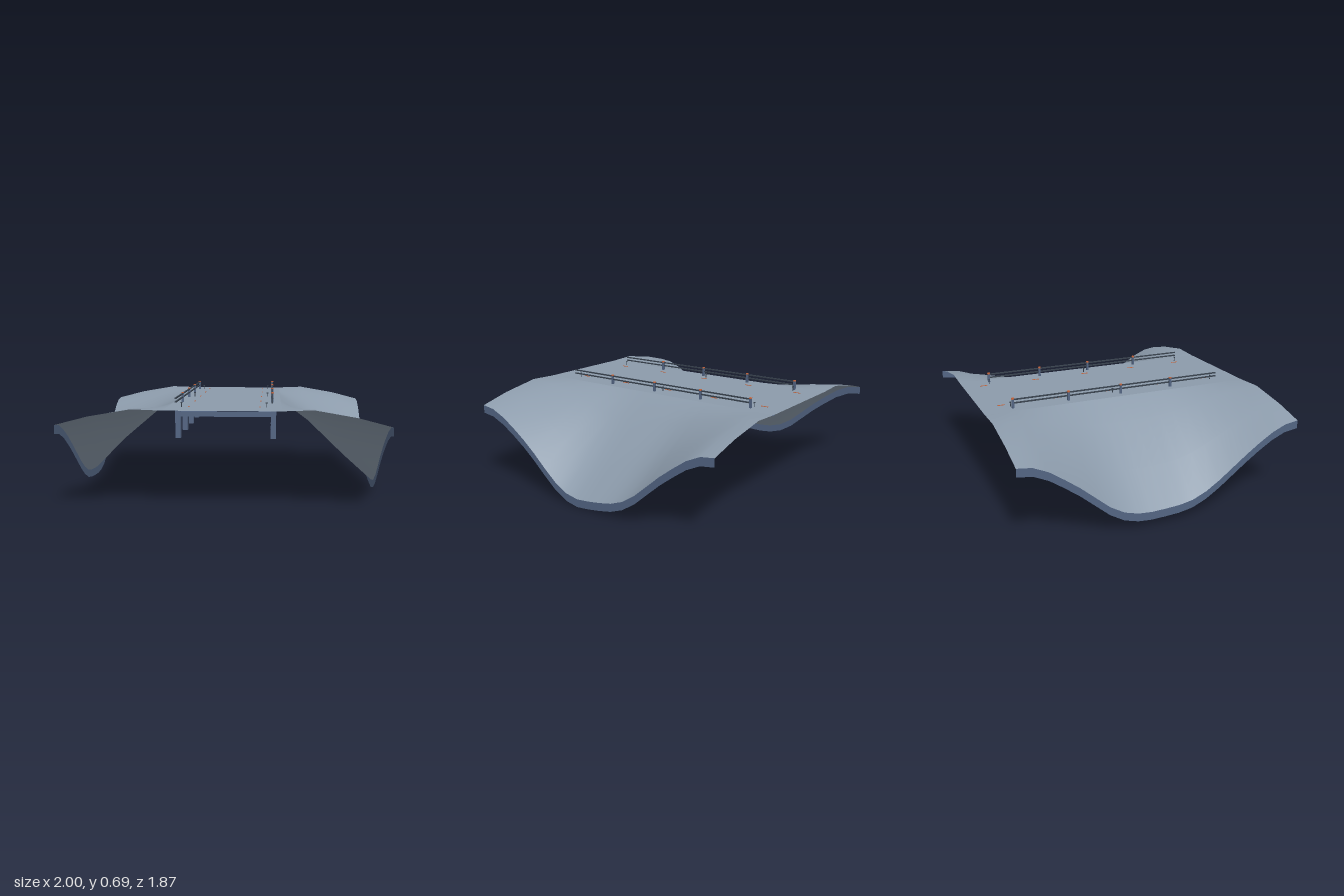
import * as THREE from 'three';

const HALF = 0.935, DECK = 0.63, EDGE = 0.353, SKIRT = 0.053;

// Outer edge heights from front (+z) to back (-z)
const LEFT_EDGE = [0.54, 0.527, 0.487, 0.43, 0.365, 0.29, 0.205, 0.127, 0.075, 0.056, 0.064,
  0.077, 0.095, 0.13, 0.19, 0.27, 0.35, 0.42, 0.485, 0.528, 0.54];
const RIGHT_EDGE = [0.54, 0.527, 0.487, 0.43, 0.365, 0.295, 0.225, 0.165, 0.125, 0.108, 0.103,
  0.1, 0.108, 0.135, 0.19, 0.27, 0.35, 0.42, 0.485, 0.528, 0.54];

// Cross-section columns: distance from centre, crest height, valley height
const LEFT_COLS = [[EDGE, 0.63, 0.63], [0.54, 0.637, 0.485], [0.8, 0.592, 0.235], [1, 0.54, 0.056]];
const RIGHT_COLS = [[EDGE, 0.63, 0.63], [0.54, 0.637, 0.525], [0.8, 0.592, 0.305], [1, 0.54, 0.1]];

// Grid surface from rows of points
function loft(rows) {
  const n = rows[0].length, index = [];
  for (let i = 0; i < rows.length - 1; i++) {
    for (let j = 0; j < n - 1; j++) {
      const a = i * n + j, b = a + 1, c = a + n, d = c + 1;
      index.push(a, b, c, b, d, c);
    }
  }
  const g = new THREE.BufferGeometry();
  g.setAttribute('position', new THREE.Float32BufferAttribute(rows.flat(2), 3));
  g.setIndex(index);
  g.computeVertexNormals();
  return g;
}

export function createModel() {
  const model = new THREE.Group();
  model.name = 'bridgeDeck';
  const mat = (name, color, side = THREE.FrontSide) => {
    const m = new THREE.MeshStandardMaterial({ color, side });
    m.name = name;
    return m;
  };
  const shell = mat('paleSlate', 0x8c9bab, THREE.DoubleSide);
  const rim = mat('blueSteelRim', 0x536583, THREE.DoubleSide);
  const steel = rim;
  const dark = mat('darkSteel', 0x39434f);
  const orange = mat('orange', 0xc4643c);

  const add = (name, geometry, material, x = 0, y = 0, z = 0) => {
    const m = new THREE.Mesh(geometry, material);
    m.name = name;
    m.position.set(x, y, z);
    model.add(m);
    return m;
  };
  const box = (name, material, w, h, d, x, y, z) =>
    add(name, new THREE.BoxGeometry(w, h, d), material, x, y, z);

  // Flat walkway
  add('walkway', new THREE.PlaneGeometry(EDGE * 2, HALF * 2).rotateX(-Math.PI / 2), shell, 0, DECK, 0);

  // Drooping wings with a vertical rim along the outer edge
  for (const [side, edge, cols] of [[1, LEFT_EDGE, LEFT_COLS], [-1, RIGHT_EDGE, RIGHT_COLS]]) {
    const label = side > 0 ? 'left' : 'right';
    const [, crest, valley] = cols[3];
    const zAt = i => HALF - (2 * HALF * i) / (edge.length - 1);
    const rows = edge.map((h, i) => {
      const f = (crest - h) / (crest - valley);
      const row = cols.map(([x, top, low]) => [side * x, top + (low - top) * f, zAt(i)]);
      return side > 0 ? row : row.reverse();
    });
    add(label + 'Wing', loft(rows), shell);
    const rimRows = edge.map((h, i) => {
      const row = [[side, h - SKIRT, zAt(i)], [side, h, zAt(i)]];
      return side > 0 ? row.reverse() : row;
    });
    add(label + 'Rim', loft(rimRows), rim);
  }

  // Support frames under the walkway
  for (const z of [-0.563, -0.188, 0.188, 0.563]) {
    box('crossBeam', steel, 0.6, 0.033, 0.022, 0, 0.57, z);
    for (const s of [-1, 1]) box('hangerPost', steel, 0.034, 0.188, 0.045, s * 0.305, 0.51, z);
  }

  for (const s of [-1, 1]) {
    // Railings
    for (const y of [0.663, 0.686]) box('rail', dark, 0.009, 0.008, 1.49, s * 0.297, y, 0.005);
    for (const z of [-0.738, -0.363, 0.012, 0.387]) {
      box('railPost', steel, 0.015, 0.066, 0.014, s * 0.297, 0.655, z);
      add('railCap', new THREE.CylinderGeometry(0.01, 0.01, 0.008, 10), orange, s * 0.297, 0.692, z);
    }
    // Low marker posts inside the railings
    for (const z of [-0.745, -0.033, 0.728]) {
      add('markerPost', new THREE.CylinderGeometry(0.003, 0.003, 0.044, 6), dark, s * 0.262, 0.636, z);
      box('markerHead', dark, 0.014, 0.006, 0.007, s * 0.262, 0.658, z);
    }
    // Painted lane dashes
    for (const z of [-0.795, -0.42, -0.045, 0.33, 0.705]) {
      box('laneDash', orange, 0.006, 0.004, 0.05, s * 0.22, 0.631, z);
    }
  }
  return model;
}
